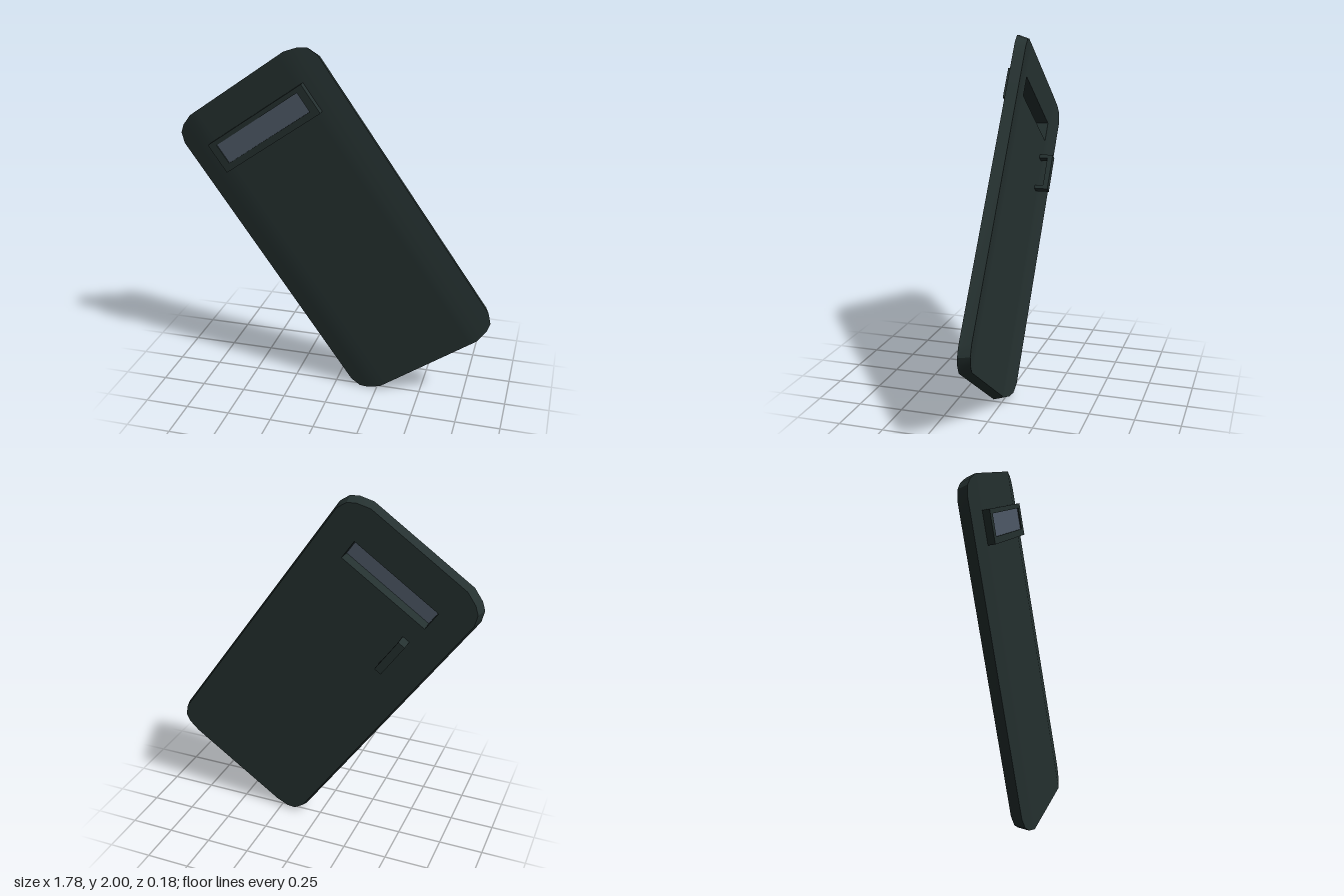
import * as THREE from 'three';
import { toCreasedNormals } from 'three/addons/utils/BufferGeometryUtils.js';

const FRONT = 0.045, BACK = -0.016, INSET = 0.015;
const WIN = { u: 0.285, bottom: 0.622, top: 0.742 };

// Half outline: distance from the centre line, and half height there
const half = [[0.285, 0.957], [0.335, 0.957], [0.41, 0.934], [0.451, 0.905], [0.475, 0.846]];
const columns = [...half.map(([u, h]) => [-u, h]).reverse(), ...half];

// Bent panel with a window slot; the back outline is slightly smaller
function panelGeometry() {
  const pos = [];
  const point = (i, j, back) => {
    const [u, h] = columns[i];
    const side = Math.abs(u) > 0.3 ? Math.sign(u) : 0;
    const inset = back ? INSET : 0;
    const y = [-h + inset, WIN.bottom, WIN.top, h - inset][j];
    const bend = Math.max(0, Math.abs(u) - 0.335) * 0.15;
    return [u - side * inset, y, (back ? BACK : FRONT) - bend];
  };
  const quad = (a, b, c, d) => pos.push(...a, ...b, ...c, ...a, ...c, ...d);
  const last = columns.length - 1, slot = half.length - 1;

  // Front and back faces, leaving the slot open
  for (let i = 0; i < last; i++) {
    for (let j = 0; j < 3; j++) {
      if (i === slot && j === 1) continue;
      const cell = [[i, j], [i + 1, j], [i + 1, j + 1], [i, j + 1]];
      quad(...cell.map(([a, b]) => point(a, b, false)));
      quad(...cell.reverse().map(([a, b]) => point(a, b, true)));
    }
  }

  // Rim and slot walls
  const wall = (loop) => loop.forEach((p, k) => {
    const q = loop[(k + 1) % loop.length];
    quad(point(...p, false), point(...p, true), point(...q, true), point(...q, false));
  });
  const rim = [];
  for (let i = 0; i <= last; i++) rim.push([i, 0]);
  rim.push([last, 1], [last, 2]);
  for (let i = last; i >= 0; i--) rim.push([i, 3]);
  rim.push([0, 2], [0, 1]);
  wall(rim);
  wall([[slot, 1], [slot, 2], [slot + 1, 2], [slot + 1, 1]]);

  const geometry = new THREE.BufferGeometry();
  geometry.setAttribute('position', new THREE.Float32BufferAttribute(pos, 3));
  return toCreasedNormals(geometry, 0.45);
}

function rectangle(path, u, bottom, top) {
  path.moveTo(-u, bottom);
  path.lineTo(u, bottom);
  path.lineTo(u, top);
  path.lineTo(-u, top);
  path.closePath();
  return path;
}

export function createModel() {
  const shieldMat = new THREE.MeshStandardMaterial({ color: 0x253130 });
  shieldMat.name = 'darkGreenGrey';
  const glassMat = new THREE.MeshStandardMaterial({ color: 0x505b69 });
  glassMat.name = 'greyBlueGlass';

  const model = new THREE.Group();
  model.name = 'shield';
  const body = new THREE.Group();
  body.name = 'tiltedShield';
  body.rotation.set(0.006, 0, THREE.MathUtils.degToRad(35), 'ZXY');
  body.position.y = 1;
  model.add(body);

  const add = (name, geometry, material, parent = body) => {
    const mesh = new THREE.Mesh(geometry, material);
    mesh.name = name;
    parent.add(mesh);
    return mesh;
  };
  const box = (name, size, at, material, parent) =>
    add(name, new THREE.BoxGeometry(...size), material, parent).position.set(...at);

  add('panel', panelGeometry(), shieldMat);

  // Raised frame around the viewing slot
  const shape = rectangle(new THREE.Shape(), 0.33, 0.585, 0.768);
  shape.holes.push(rectangle(new THREE.Path(), WIN.u, WIN.bottom, WIN.top));
  const frame = new THREE.ExtrudeGeometry(shape, { depth: 0.047, bevelEnabled: false });
  add('windowFrame', frame.translate(0, 0, 0.038), shieldMat);

  // Window pane
  box('windowPane', [WIN.u * 2, WIN.top - WIN.bottom, 0.018],
    [0, (WIN.top + WIN.bottom) / 2, 0.069], glassMat);

  // Grip on the back
  const handle = new THREE.Group();
  handle.name = 'handle';
  handle.position.set(-0.249, 0.394, 0);
  body.add(handle);
  box('handleBar', [0.045, 0.22, 0.03], [0, 0, -0.08], shieldMat, handle);
  for (const s of [-1, 1]) {
    box('handleLeg', [0.045, 0.022, 0.055], [0, s * 0.099, -0.0385], shieldMat, handle);
  }
  return model;
}
